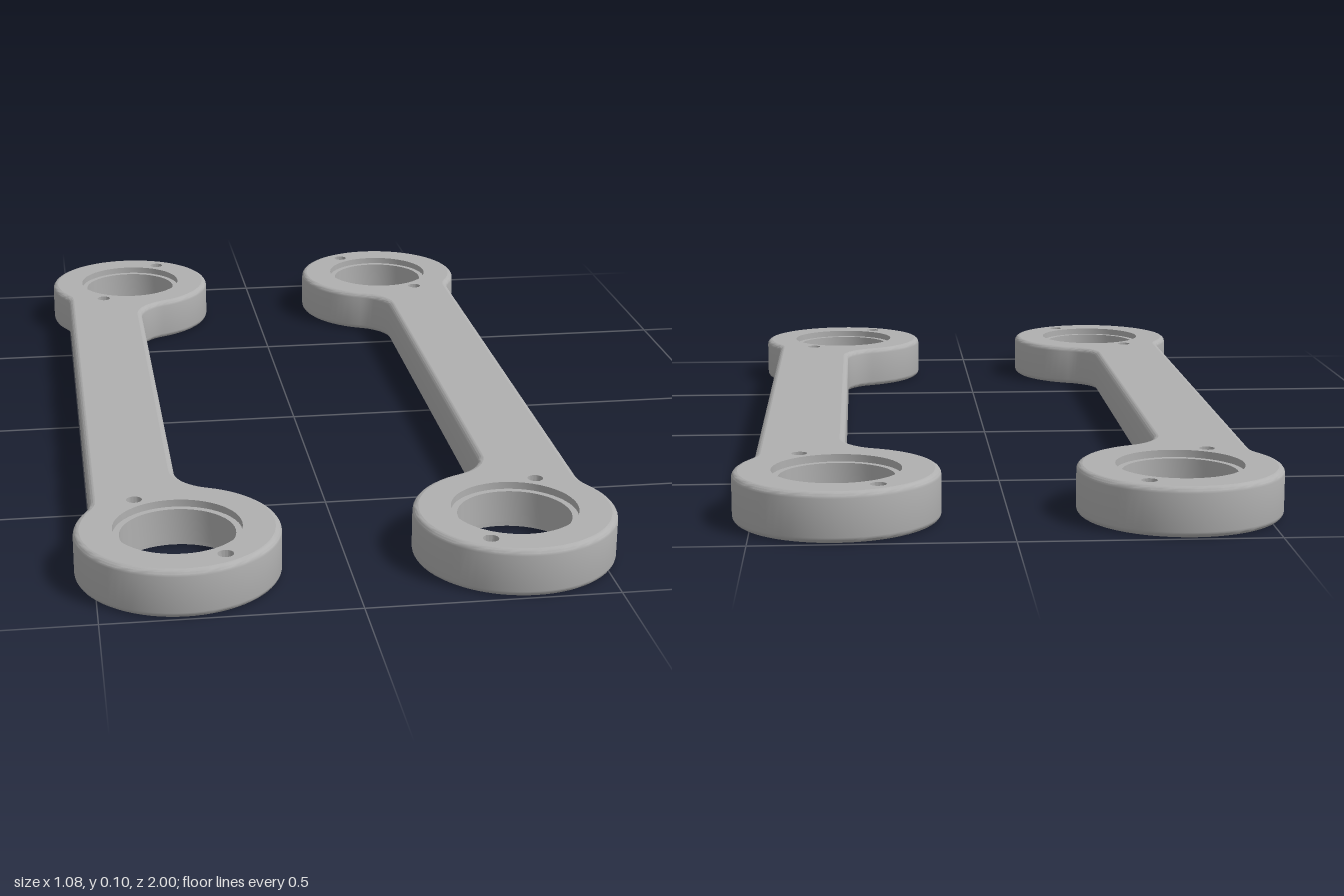
import * as THREE from 'three';
import { toCreasedNormals } from 'three/addons/utils/BufferGeometryUtils.js';

const H = 0.098, BEVEL = 0.012;
const RING = { x: 0.335, z: 0.795, r: 0.203 };
const BAR = { inner: 0.32, outer: 0.5, fillet: 0.1 };
const BORE = 0.114, SEAT = 0.127, SEAT_DEPTH = 0.015, PIN = 0.016;

function arc(out, cx, cz, r, from, to, n) {
  for (let i = 0; i <= n; i++) {
    const a = from + (to - from) * i / n;
    out.push(new THREE.Vector2(cx + r * Math.cos(a), cz + r * Math.sin(a)));
  }
}

// Link outline in (x, z), inset by d: bar, fillets and ring ends
function outline(d) {
  const f = BAR.fillet, reach = RING.r + f;
  const xi = BAR.inner - f, xo = BAR.outer + f;
  const dzi = Math.sqrt(reach ** 2 - (RING.x - xi) ** 2);
  const dzo = Math.sqrt(reach ** 2 - (xo - RING.x) ** 2);
  const ai = Math.atan2(dzi, RING.x - xi);
  const ao = Math.atan2(-dzo, xo - RING.x);
  const pts = [];
  arc(pts, xi, RING.z - dzi, f + d, 0, ai, 12);
  arc(pts, RING.x, RING.z, RING.r - d, ai - Math.PI, ao - 2 * Math.PI, 56);
  arc(pts, xo, RING.z - dzo, f + d, ao + Math.PI, Math.PI, 8);
  const mirrored = pts.map(p => new THREE.Vector2(p.x, -p.y)).reverse();
  // drop the doubled points where arcs meet
  return [...pts, ...mirrored].filter((p, i, all) => i === 0 || p.distanceTo(all[i - 1]) > 1e-5);
}

// Outer wall lofted through [height, inset] levels with rounded edges
function wallGeometry() {
  const levels = [], n = 4;
  for (let i = 0; i <= n; i++) {
    const a = i / n * Math.PI / 2;
    levels.push([BEVEL * (1 - Math.sin(a)), BEVEL * (1 - Math.cos(a))]);
  }
  levels.reverse();
  const lower = levels.map(([y, d]) => [y, d]).sort((a, b) => a[0] - b[0]);
  const upper = lower.map(([y, d]) => [H - y, d]).reverse();
  const rings = [...lower, ...upper].map(([y, d]) => outline(d).map(p => [p.x, y, p.y]));
  const count = rings[0].length, index = [];
  for (let k = 0; k < rings.length - 1; k++) {
    for (let i = 0; i < count; i++) {
      const j = (i + 1) % count;
      const a = k * count + i, b = k * count + j;
      index.push(a, b, b + count, a, b + count, a + count);
    }
  }
  const geo = new THREE.BufferGeometry();
  geo.setAttribute('position', new THREE.Float32BufferAttribute(rings.flat(2), 3));
  geo.setIndex(index);
  return toCreasedNormals(geo, 0.6);
}

function circle(x, z, r, n) {
  const pts = [];
  arc(pts, x, z, r, 0, 2 * Math.PI, n);
  pts.pop();
  return new THREE.Path(pts);
}

export function createModel() {
  const metal = new THREE.MeshStandardMaterial({ color: 0xb0b0b0 });
  metal.name = 'grey metal';

  const pins = [1, -1].flatMap(s => [[0.411, 0.657 * s], [0.255, 0.932 * s]]);

  // Flat faces pierced by the bores and pin holes
  const face = new THREE.Shape(outline(BEVEL));
  for (const s of [1, -1]) face.holes.push(circle(RING.x, RING.z * s, SEAT, 48));
  for (const [x, z] of pins) face.holes.push(circle(x, z, PIN, 16));
  const topGeo = new THREE.ShapeGeometry(face).rotateX(-Math.PI / 2).translate(0, H, 0);
  const bottomGeo = new THREE.ShapeGeometry(face).rotateX(Math.PI / 2);
  const wallGeo = wallGeometry();

  // Stepped bore, listed downward so that it faces inward
  const lathe = (pts, n) => toCreasedNormals(
    new THREE.LatheGeometry(pts.map(p => new THREE.Vector2(...p)), n), 0.6);
  const boreGeo = lathe([
    [SEAT, H], [SEAT, H - SEAT_DEPTH], [BORE, H - SEAT_DEPTH],
    [BORE, SEAT_DEPTH], [SEAT, SEAT_DEPTH], [SEAT, 0],
  ], 48);
  const pinGeo = lathe([[PIN, H], [PIN, 0]], 16);

  function link(name) {
    const g = new THREE.Group();
    g.name = name;
    const add = (part, geo, x = 0, z = 0) => {
      const m = new THREE.Mesh(geo, metal);
      m.name = part;
      m.position.set(x, 0, z);
      g.add(m);
    };
    add('outerWall', wallGeo);
    add('topFace', topGeo);
    add('bottomFace', bottomGeo);
    add('frontBore', boreGeo, RING.x, RING.z);
    add('backBore', boreGeo, RING.x, -RING.z);
    for (const [x, z] of pins) add('pinHole', pinGeo, x, z);
    return g;
  }

  const model = new THREE.Group();
  model.name = 'pairOfLinks';
  const left = link('leftLink');
  const right = link('rightLink');
  right.rotation.y = Math.PI;
  model.add(left, right);
  return model;
}
